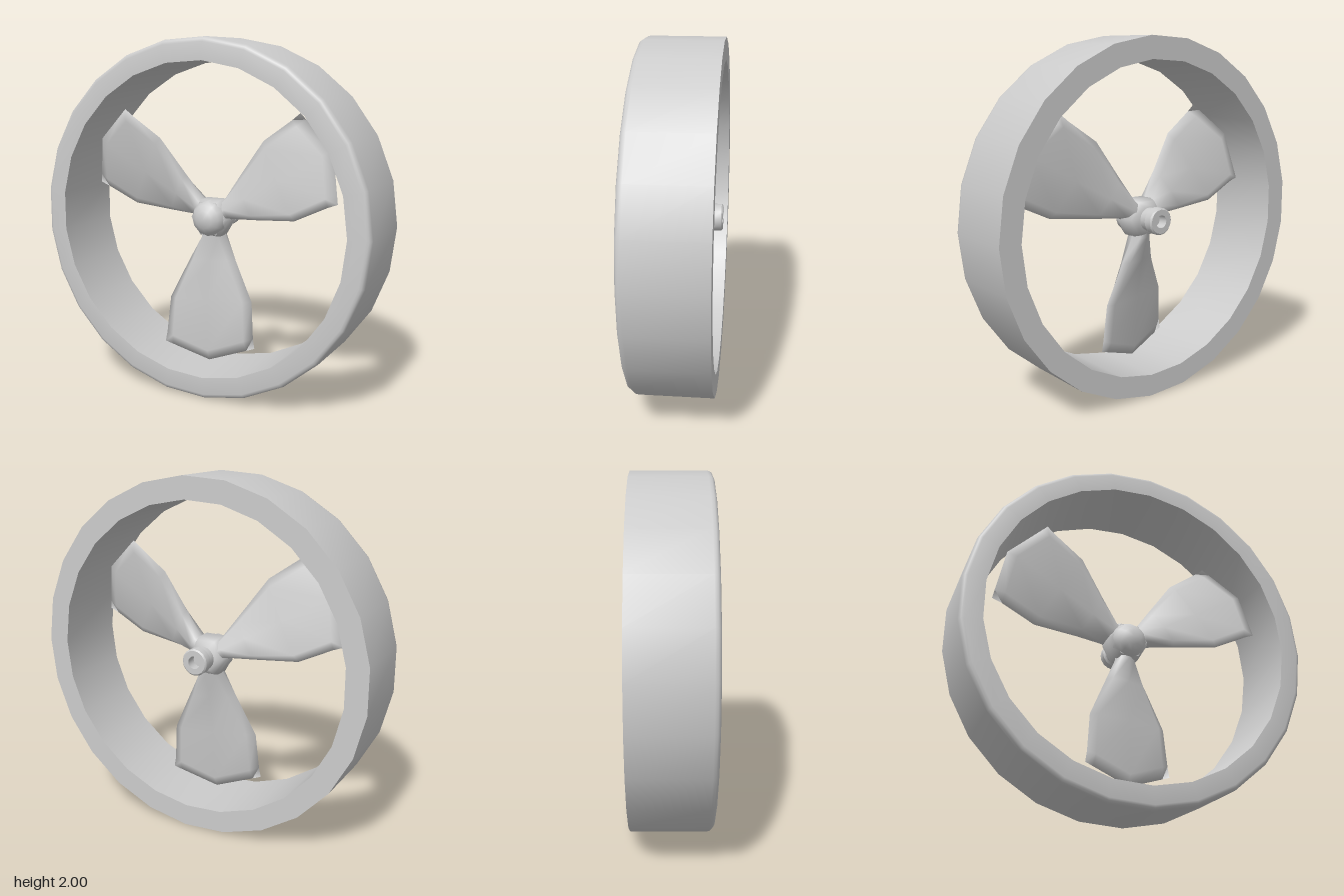
import * as THREE from 'three';
import { mergeVertices, toCreasedNormals } from 'three/addons/utils/BufferGeometryUtils.js';

const material = new THREE.MeshStandardMaterial({ color: 0xcccccc });

function addMesh(parent, name, geometry) {
  const mesh = new THREE.Mesh(geometry, material);
  mesh.name = name;
  parent.add(mesh);
  return mesh;
}

// Revolves [radius, z] points about the z axis, first corner on +x
function turned(points, sides, crease) {
  const profile = points.map(([r, z]) => new THREE.Vector2(r, z));
  const geometry = new THREE.LatheGeometry(profile, sides, Math.PI / 2).rotateX(Math.PI / 2);
  return toCreasedNormals(geometry, crease);
}

// One blade pointing down: eight-point sections lofted from a thick root to a flat, pointed paddle
function bladeGeometry() {
  // [radius, half width, half thickness, z centre, pitch slope, shoulder position, shoulder thickness, tip point]
  const sections = [
    [0.04, 0.060, 0.080, -0.03, -0.30, 0.70, 0.72, 0],
    [0.11, 0.064, 0.075, -0.03, -0.30, 0.70, 0.72, 0],
    [0.25, 0.130, 0.050, -0.01, -0.27, 0.76, 0.75, 0],
    [0.48, 0.235, 0.033, 0.015, -0.23, 0.82, 0.85, 0],
    [0.69, 0.252, 0.028, 0.030, -0.22, 0.82, 0.90, 0.09],
    [0.75, 0.262, 0.000, 0.032, -0.22, 0.82, 0.90, 0.09],
  ];
  const position = [], index = [];
  sections.forEach(([r, w, t, zc, slope, su, st, point], j) => {
    const us = [1, su, 0, -su, -1, -su, 0, su];
    const ts = [0, st, 1, st, 0, -st, -1, -st];
    us.forEach((u, k) => {
      const x = u * w;
      position.push(x, -(r + point * (1 - Math.abs(u))), zc + slope * x + ts[k] * t);
      if (j === sections.length - 1) return;
      const a = j * 8 + k, b = j * 8 + (k + 1) % 8;
      index.push(a, b, b + 8, a, b + 8, a + 8);
    });
  });
  const geometry = new THREE.BufferGeometry();
  geometry.setAttribute('position', new THREE.Float32BufferAttribute(position, 3));
  geometry.setIndex(index);
  const merged = mergeVertices(geometry, 1e-5);
  merged.computeVertexNormals();
  return merged;
}

export function createModel() {
  const model = new THREE.Group();
  model.name = 'ductedPropeller';

  // Faceted duct with a rounded front outer edge
  const ring = addMesh(model, 'ductRing', turned([
    [0.878, -0.222], [1.002, -0.222], [1.002, 0.195], [0.998, 0.211],
    [0.989, 0.222], [0.975, 0.226], [0.878, 0.226], [0.878, -0.222],
  ], 25, 0.65));
  ring.position.set(-0.004, 1, 0);

  const propeller = new THREE.Group();
  propeller.name = 'propeller';
  propeller.position.set(-0.008, 1, 0);
  model.add(propeller);

  // Six-sided hub with a domed nose
  addMesh(propeller, 'hub', turned([
    [0, -0.125], [0.075, -0.125], [0.108, -0.10], [0.12, -0.06], [0.12, 0.02], [0.105, 0.05], [0, 0.05],
  ], 6, 1.1));
  addMesh(propeller, 'hubNose', turned([
    [0.104, 0.02], [0.1, 0.05], [0.082, 0.08], [0.05, 0.101], [0, 0.11],
  ], 12, 1.1));

  // Hollow shaft collar at the back
  addMesh(propeller, 'shaftCollar', turned([
    [0, -0.17], [0.036, -0.17], [0.036, -0.227], [0.068, -0.227], [0.076, -0.219],
    [0.076, -0.175], [0.066, -0.165], [0.066, -0.11],
  ].map(([r, z]) => [r, z]), 16, 0.6));

  const blade = bladeGeometry();
  for (let i = 0; i < 3; i++) {
    addMesh(propeller, 'blade', blade).rotation.z = i * Math.PI * 2 / 3;
  }
  return model;
}
